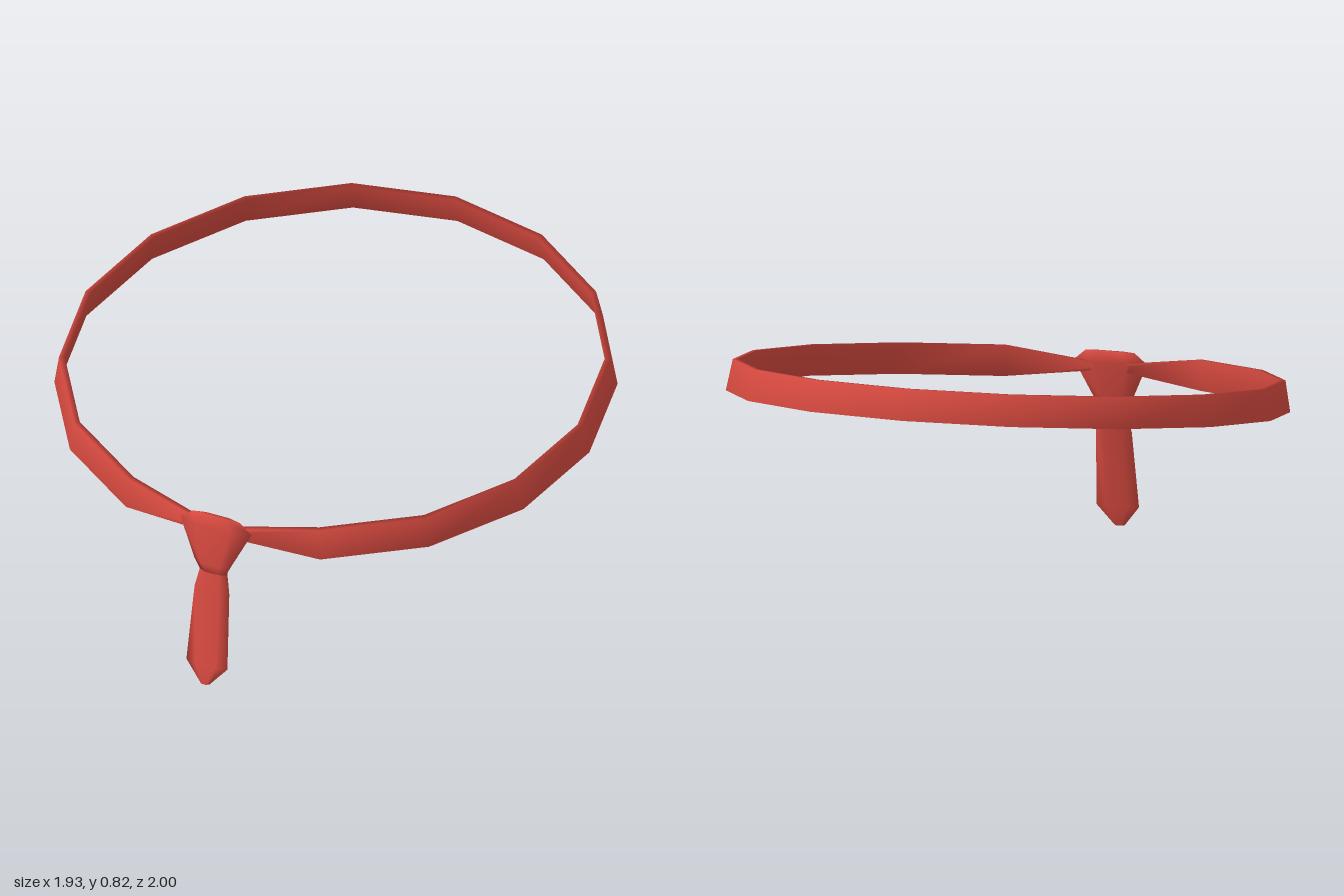
import * as THREE from 'three';

// Smooth skin over a list of equal-length rings; closed joins last ring to first, otherwise ends are capped.
function loft(rings, closed) {
  const n = rings[0].length, m = rings.length;
  const pos = rings.flat(2), index = [];
  for (let i = 0; i < (closed ? m : m - 1); i++) {
    const k = (i + 1) % m;
    for (let j = 0; j < n; j++) {
      const h = (j + 1) % n;
      const a = i * n + j, b = i * n + h, c = k * n + h, d = k * n + j;
      index.push(a, b, d, b, c, d);
    }
  }
  if (!closed) {
    const last = (m - 1) * n;
    for (let j = 1; j < n - 1; j++) {
      index.push(0, j + 1, j);
      index.push(last, last + j, last + j + 1);
    }
  }
  const g = new THREE.BufferGeometry();
  g.setAttribute('position', new THREE.Float32BufferAttribute(pos, 3));
  g.setIndex(index);
  g.computeVertexNormals();
  return g;
}

// Flattened six-sided section: height, centre x, half width, back z, front z
function section([y, cx, w, zb, zf]) {
  const mid = (zb + zf) / 2;
  return [
    [cx + w, y, mid], [cx + w * 0.5, y, zf], [cx - w * 0.5, y, zf],
    [cx - w, y, mid], [cx - w * 0.5, y, zb], [cx + w * 0.5, y, zb],
  ];
}

// Sixteen-sided tilted collar band, flared at the lower edge and pinched under the knot
function bandRings() {
  const rings = [];
  for (let i = 0; i < 16; i++) {
    const a = (i / 16) * Math.PI * 2, s = Math.sin(a), c = Math.cos(a);
    const point = (r, top) => {
      const x = s * r;
      const z = -0.035 + c * (c > 0 ? r - 0.02 : r) + (top ? 0.01 : 0);
      let y = (top ? 0.719 : 0.61) - 0.106 * z;
      if (i === 0) y = top ? 0.575 : 0.56;
      return [x, y, z];
    };
    rings.push([point(0.945, true), point(0.965, false), point(0.947, false), point(0.925, true)]);
  }
  return rings;
}

export function createModel() {
  const group = new THREE.Group();
  const red = new THREE.MeshStandardMaterial({ color: 0xd84a40 });
  red.name = 'red cloth';

  const add = (name, geometry) => {
    const mesh = new THREE.Mesh(geometry, red);
    mesh.name = name;
    group.add(mesh);
  };

  add('collarBand', loft(bandRings(), true));

  // Knot, wide at the top and narrowing downwards
  add('knot', loft([
    [0.622, 0.002, 0.09, 0.882, 0.905],
    [0.585, 0, 0.135, 0.868, 0.918],
    [0.45, 0, 0.069, 0.898, 0.94],
    [0.41, 0, 0.05, 0.905, 0.928],
  ].map(section), false));

  // Hanging blade, leaning forward to a blunt tip
  add('tieBlade', loft([
    [0.44, 0, 0.045, 0.895, 0.915],
    [0.41, 0, 0.052, 0.899, 0.921],
    [0.34, 0, 0.066, 0.913, 0.935],
    [0.07, 0.007, 0.078, 0.967, 0.988],
    [0, 0.006, 0.018, 0.983, 1.0],
  ].map(section), false));

  return group;
}
